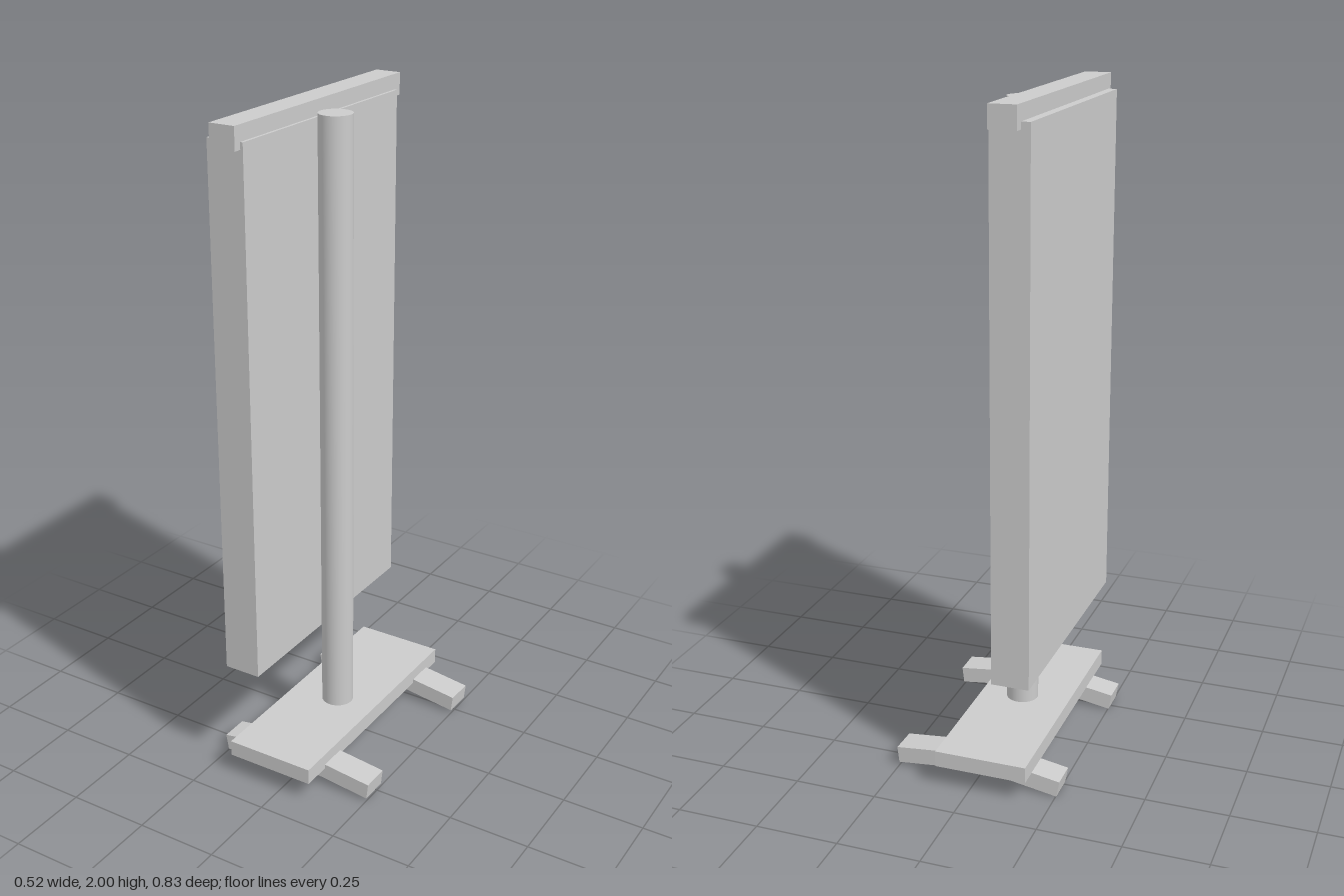
import * as THREE from 'three';

const material = new THREE.MeshStandardMaterial({ color: 0xcccccc });

// Box given by its extents on each axis
function block(name, [x0, x1], [y0, y1], [z0, z1]) {
  const mesh = new THREE.Mesh(new THREE.BoxGeometry(x1 - x0, y1 - y0, z1 - z0), material);
  mesh.name = name;
  mesh.position.set((x0 + x1) / 2, (y0 + y1) / 2, (z0 + z1) / 2);
  return mesh;
}

// Sloping foot bar whose underside runs between two points in x, y
function footArm(name, [x0, y0], [x1, y1], z, yaw = 0) {
  const length = Math.hypot(x1 - x0, y1 - y0);
  const thickness = 0.05;
  const geometry = new THREE.BoxGeometry(length, thickness, 0.086);
  geometry.translate(0, thickness / 2, 0);
  const mesh = new THREE.Mesh(geometry, material);
  mesh.name = name;
  mesh.position.set((x0 + x1) / 2, (y0 + y1) / 2, z);
  mesh.rotation.set(0, yaw, Math.atan2(y1 - y0, x1 - x0), 'YXZ');
  return mesh;
}

export function createModel() {
  const model = new THREE.Group();
  model.name = 'displayStand';

  // Panel, its top rail and the base plate
  model.add(
    block('panel', [-0.188, -0.075], [0.37, 1.955], [-0.388, 0.392]),
    block('topRail', [-0.162, -0.083], [1.935, 2], [-0.418, 0.416]),
    block('basePlate', [-0.175, 0.105], [0.063, 0.112], [-0.38, 0.403])
  );

  // Upright pole
  const pole = new THREE.Mesh(new THREE.CylinderGeometry(0.049, 0.049, 1.87, 48), material);
  pole.name = 'pole';
  pole.position.set(-0.025, 1.035, 0.03);
  model.add(pole);

  // Two splayed feet; one arm of the back foot is slightly turned
  const peak = [-0.02, 0.04];
  const feet = [
    { name: 'frontFoot', leftZ: 0.269, rightZ: 0.269, yaw: 0 },
    { name: 'backFoot', leftZ: -0.273, rightZ: -0.279, yaw: -0.03 }
  ];
  for (const { name, leftZ, rightZ, yaw } of feet) {
    const foot = new THREE.Group();
    foot.name = name;
    foot.add(
      footArm('leftArm', peak, [0.25, 0.009], leftZ, yaw),
      footArm('rightArm', [-0.252, 0], peak, rightZ)
    );
    model.add(foot);
  }
  return model;
}
